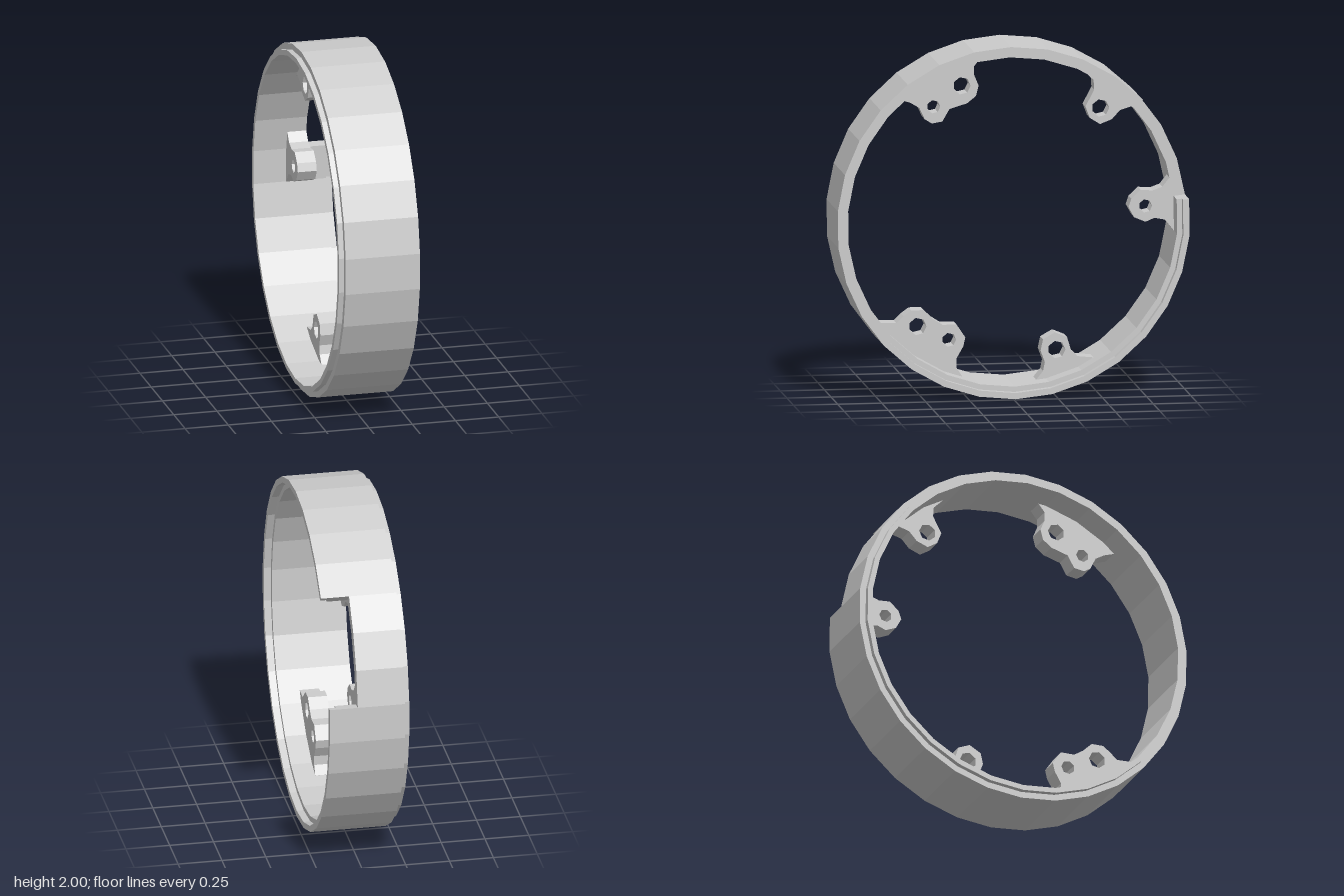
import * as THREE from 'three';

const rad = THREE.MathUtils.degToRad;
const OUTER = 1, MID = 0.965, INNER = 0.935;
const BACK = -0.23, SHOULDER = -0.2, NOTCH = 0.07, LEDGE = 0.19, FRONT = 0.23;
const A0 = rad(6.5), A1 = rad(43); // angular limits of the notch

const mat = new THREE.MeshStandardMaterial({ color: 0xcccccc, flatShading: true });
const thin = new THREE.MeshStandardMaterial({ color: 0xcccccc, flatShading: true, side: THREE.DoubleSide });
const vecs = (pts) => pts.map(([a, b]) => new THREE.Vector2(a, b));

function add(group, name, geometry, material = mat) {
  const mesh = new THREE.Mesh(geometry, material);
  mesh.name = name;
  group.add(mesh);
}

// Sweep a [radius, x] profile about the x axis
function sweep(profile, from, to, segments) {
  const closed = vecs([...profile, profile[0]]);
  return new THREE.LatheGeometry(closed, segments, Math.PI + from, to - from).rotateZ(-Math.PI / 2);
}

// Flat end face of the wall at a given angle
function endFace(profile, angle) {
  return new THREE.ShapeGeometry(new THREE.Shape(vecs(profile)))
    .rotateY(angle + Math.PI / 2).rotateZ(-Math.PI / 2);
}

// Lug plate: inner outline closed by an arc buried in the wall, with faceted holes
function lug(outline, holes) {
  const first = outline[0], last = outline[outline.length - 1];
  const start = Math.atan2(last[1], last[0]);
  let span = Math.atan2(first[1], first[0]) - start;
  span = Math.atan2(Math.sin(span), Math.cos(span));
  const pts = [...outline];
  for (let i = 0; i <= 4; i++) {
    const a = start + span * i / 4;
    pts.push([0.955 * Math.cos(a), 0.955 * Math.sin(a)]);
  }
  const shape = new THREE.Shape(vecs(pts));
  for (const [u, v, r] of holes) {
    const ring = [];
    for (let i = 0; i < 7; i++) {
      const a = i / 7 * Math.PI * 2;
      ring.push([u + r * Math.cos(a), v + r * Math.sin(a)]);
    }
    shape.holes.push(new THREE.Path(vecs(ring)));
  }
  return new THREE.ExtrudeGeometry(shape, { depth: 0.11, bevelEnabled: false })
    .translate(0, 0, NOTCH - 0.11).rotateY(Math.PI / 2);
}

// Lug outlines across the ring plane: [towards the back, up]; holes: [.., .., radius]
const lugs = {
  upperFrontLug: {
    outline: [[-0.62, 0.69], [-0.56, 0.67], [-0.51, 0.64], [-0.48, 0.575], [-0.44, 0.55], [-0.38, 0.56],
      [-0.34, 0.63], [-0.24, 0.66], [-0.19, 0.7], [-0.175, 0.76], [-0.2, 0.82], [-0.2, 0.87], [-0.16, 0.92]],
    holes: [[-0.27, 0.76, 0.05], [-0.43, 0.645, 0.038]],
  },
  upperBackLug: {
    outline: [[0.42, 0.83], [0.476, 0.775], [0.48, 0.72], [0.43, 0.625], [0.455, 0.56], [0.513, 0.524],
      [0.58, 0.55], [0.625, 0.6], [0.69, 0.62], [0.74, 0.59]],
    holes: [[0.515, 0.615, 0.05]],
  },
  backLug: {
    outline: [[0.92, 0.23], [0.866, 0.16], [0.81, 0.14], [0.743, 0.145], [0.69, 0.096], [0.674, 0.048],
      [0.706, -0.01], [0.77, -0.037], [0.82, -0.016], [0.88, -0.027], [0.935, -0.096]],
    holes: [[0.77, 0.053, 0.038]],
  },
  lowerBackLug: {
    outline: [[0.15, -0.92], [0.19, -0.87], [0.2, -0.82], [0.176, -0.754], [0.19, -0.69], [0.257, -0.652],
      [0.326, -0.68], [0.348, -0.754], [0.385, -0.79], [0.48, -0.8]],
    holes: [[0.267, -0.75, 0.05]],
  },
  lowerFrontLug: {
    outline: [[-0.73, -0.575], [-0.64, -0.578], [-0.6, -0.54], [-0.556, -0.508], [-0.487, -0.508],
      [-0.433, -0.56], [-0.38, -0.594], [-0.3, -0.594], [-0.25, -0.668], [-0.262, -0.72], [-0.3, -0.786],
      [-0.3, -0.84], [-0.267, -0.89]],
    holes: [[-0.52, -0.6, 0.05], [-0.342, -0.68, 0.04]],
  },
};

export function createModel() {
  const model = new THREE.Group();
  model.name = 'mountingRing';
  const ring = new THREE.Group();
  ring.name = 'ring';
  ring.position.y = 1;
  model.add(ring);

  // Wall: locating lip on one rim, matching rabbet on the other, low along the notch
  const lip = [[INNER, BACK], [MID, BACK], [MID, SHOULDER], [OUTER, SHOULDER]];
  const rabbet = [[OUTER, FRONT], [MID, FRONT], [MID, LEDGE], [INNER, LEDGE]];
  add(ring, 'wall', sweep([...lip, ...rabbet], A1, A0 + Math.PI * 2, 27));
  add(ring, 'notchedWall', sweep([...lip, [OUTER, NOTCH], [INNER, NOTCH]], A0, A1, 3));

  // End faces of the notch
  const end = [[INNER, NOTCH], [OUTER, NOTCH], ...rabbet];
  add(ring, 'lowerNotchEnd', endFace(end, A0), thin);
  add(ring, 'upperNotchEnd', endFace(end, A1), thin);

  // Screw lugs
  for (const [name, { outline, holes }] of Object.entries(lugs)) add(ring, name, lug(outline, holes));
  return model;
}
